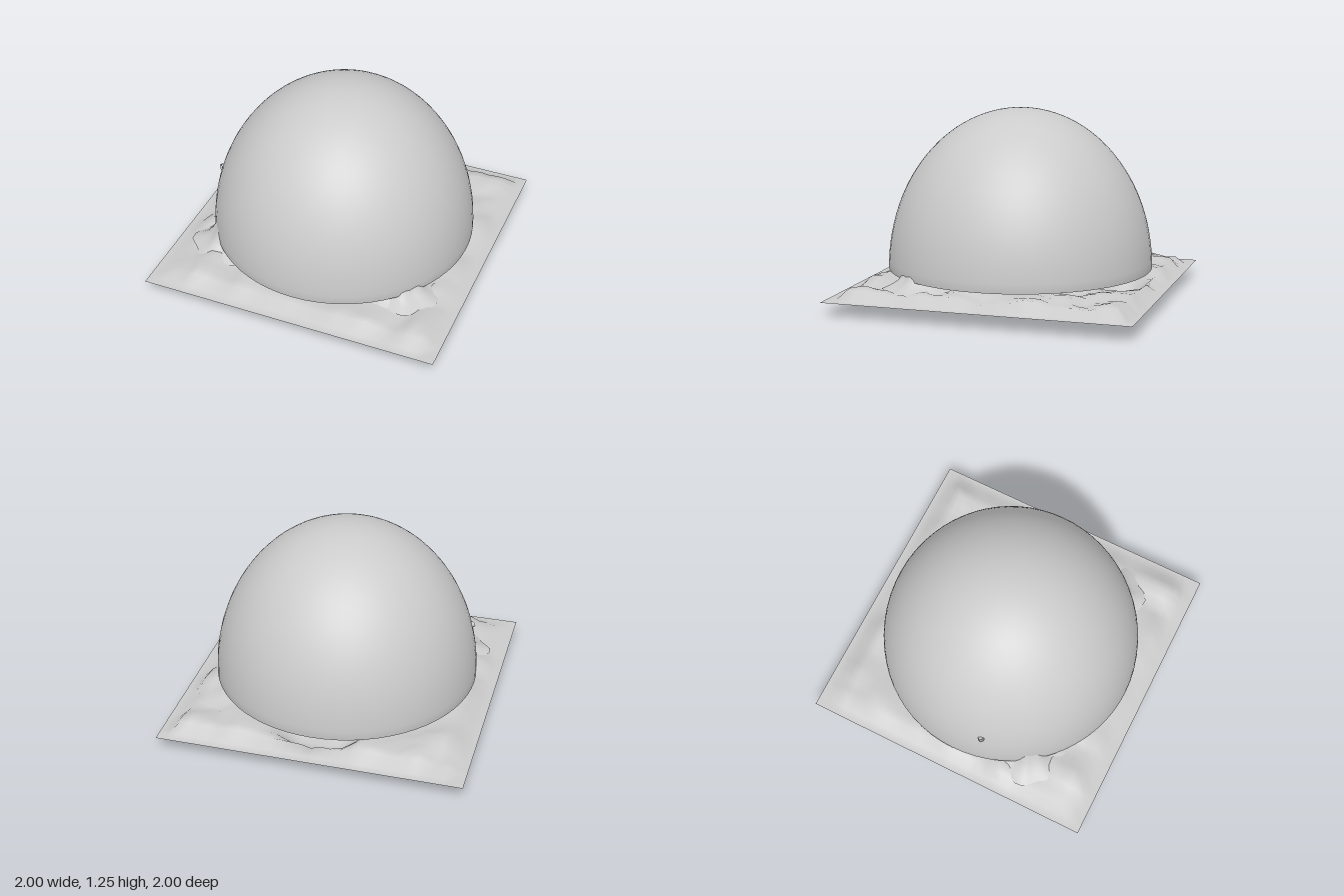
import * as THREE from 'three';

const grey = new THREE.MeshStandardMaterial({ color: 0xcccccc, side: THREE.DoubleSide });

function part(parent, name, geometry, x = 0, y = 0, z = 0) {
  const mesh = new THREE.Mesh(geometry, grey);
  mesh.name = name;
  mesh.position.set(x, y, z);
  parent.add(mesh);
  return mesh;
}

// repeatable value noise, 0..1
function hash(i, j) {
  const s = Math.sin(i * 127.1 + j * 311.7 + 4.3) * 43758.5453;
  return s - Math.floor(s);
}
function noise(x, z) {
  const i = Math.floor(x), j = Math.floor(z);
  const u = THREE.MathUtils.smoothstep(x - i, 0, 1), v = THREE.MathUtils.smoothstep(z - j, 0, 1);
  const a = THREE.MathUtils.lerp(hash(i, j), hash(i + 1, j), u);
  const b = THREE.MathUtils.lerp(hash(i, j + 1), hash(i + 1, j + 1), u);
  return THREE.MathUtils.lerp(a, b, v);
}

// rugged ground: flat border, bumps inside, a hollow towards the back
function groundHeight(x, z) {
  const rim = Math.max(Math.abs(x), Math.abs(z));
  const rise = 1 - THREE.MathUtils.smoothstep(rim, 0.86, 0.94);
  const bumps = 0.65 * noise(x * 6 + 20, z * 6 + 20) + 0.35 * noise(x * 13 + 50, z * 13 + 50);
  const d = Math.hypot(x / 0.34, (z + 0.67) / 0.23);
  const hollow = 1 - THREE.MathUtils.smoothstep(d, 0.35, 1.05);
  const y = 0.12 + rise * (0.015 + 0.085 * bumps) - hollow * (0.12 + 0.05 * bumps);
  return Math.max(0, y);
}

function groundGeometry() {
  const geo = new THREE.PlaneGeometry(2, 2, 32, 32).rotateX(-Math.PI / 2);
  const p = geo.attributes.position;
  for (let i = 0; i < p.count; i++) p.setY(i, groundHeight(p.getX(i), p.getZ(i)));
  geo.computeVertexNormals();
  return geo;
}

// tree trunk with a flared, ribbed foot
function trunkGeometry(radius, height) {
  const profile = [[1, 0], [0.82, 0.06], [0.64, 0.14], [0.5, 0.26], [0.36, 0.45], [0.26, 0.7], [0.16, 1]]
    .map(([r, y]) => new THREE.Vector2(r * radius, y * height));
  const geo = new THREE.LatheGeometry(profile, 30);
  const p = geo.attributes.position;
  for (let i = 0; i < p.count; i++) {
    const x = p.getX(i), z = p.getZ(i);
    const rib = 1 + 0.07 * Math.sin(7 * Math.atan2(z, x)) + 0.04 * Math.sin(3 * Math.atan2(z, x));
    p.setX(i, x * rib);
    p.setZ(i, z * rib);
  }
  geo.computeVertexNormals();
  return geo;
}

export function createModel() {
  const model = new THREE.Group();
  model.name = 'domedLandscape';

  part(model, 'ground', groundGeometry());

  // thin domed cover, slightly taller than a half sphere, open below
  const profile = [];
  const steps = 28;
  for (let i = 0; i <= steps; i++) {
    const a = (i / steps) * Math.PI / 2;
    profile.push(new THREE.Vector2(0.865 * Math.sin(a), 0.225 + 1.043 * Math.cos(a)));
  }
  for (let i = steps; i >= 0; i--) {
    const a = (i / steps) * Math.PI / 2;
    profile.push(new THREE.Vector2(0.875 * Math.sin(a), 0.225 + 1.053 * Math.cos(a)));
  }
  // outer wall runs upwards so that its faces look out
  part(model, 'dome', new THREE.LatheGeometry(profile, 64));

  // trees: x, base y, z, foot radius, height
  const trees = [
    ['deepTree', -0.53, 0.03, -0.13, 0.17, 0.6],
    ['frontRightTree', -0.63, 0.165, 0.45, 0.25, 0.35],
    ['frontLeftTree', 0.58, 0.165, 0.46, 0.26, 0.35],
    ['middleTree', 0.255, 0.1, 0.1, 0.09, 0.5],
    ['sapling', -0.26, 0.1, 0, 0.05, 0.3],
  ];
  for (const [name, x, y, z, radius, height] of trees) {
    part(model, name, trunkGeometry(radius, height), x, y, z);
  }

  // branch whose tip just breaks through the dome
  const branch = new THREE.CatmullRomCurve3([
    new THREE.Vector3(-0.53, 0.42, -0.13),
    new THREE.Vector3(-0.66, 0.52, 0.04),
    new THREE.Vector3(-0.818, 0.555, 0.2),
  ]);
  part(model, 'branch', new THREE.TubeGeometry(branch, 10, 0.02, 7));

  return model;
}
